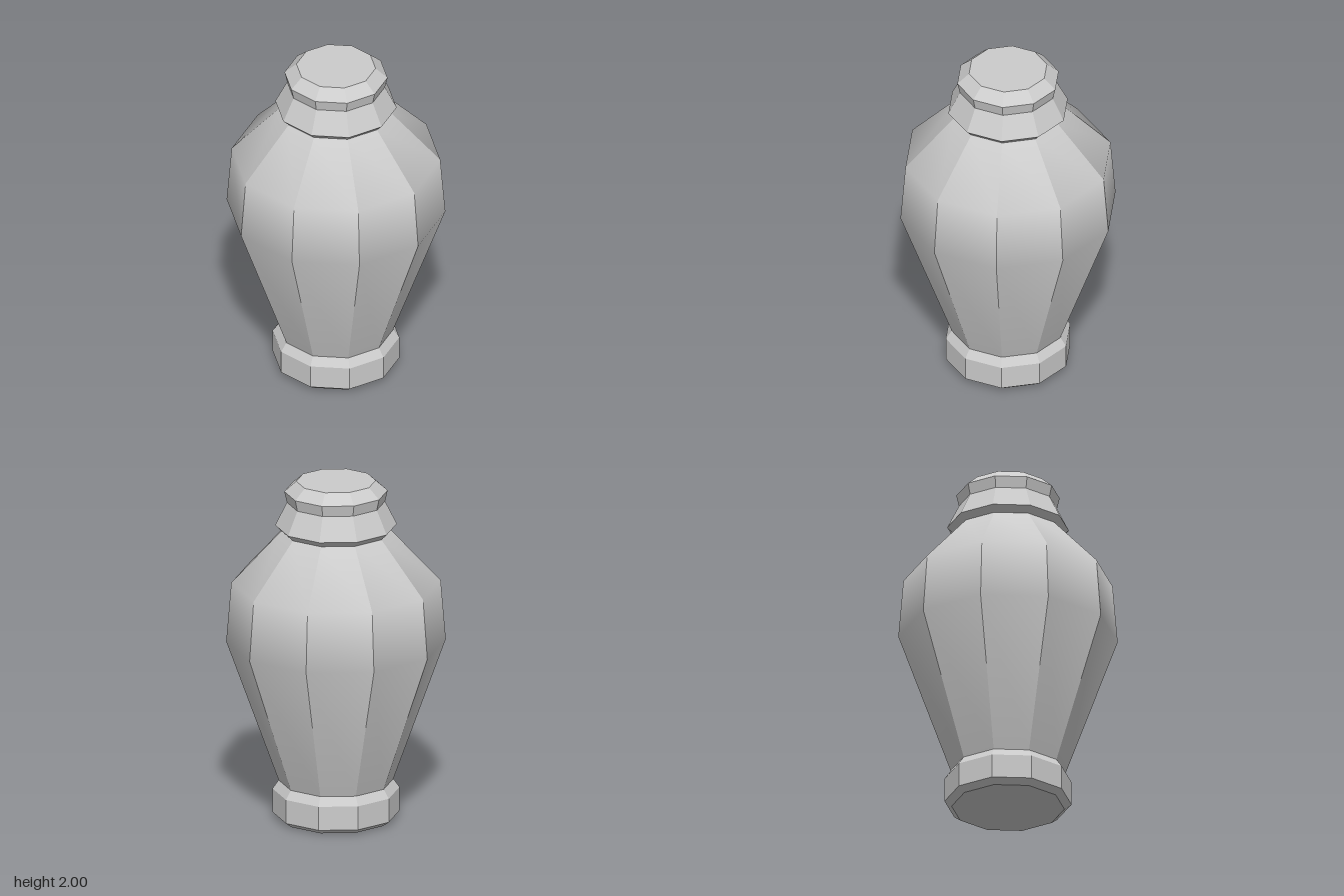
import * as THREE from 'three';
import { mergeGeometries } from 'three/addons/utils/BufferGeometryUtils.js';

const SIDES = 10;
const STEP = (Math.PI * 2) / SIDES;

const toPoints = (profile) => profile.map(([r, y]) => new THREE.Vector2(r, y));

// Ten-sided turned part with hard facets
function facetedPart(name, profile) {
  const geometry = new THREE.LatheGeometry(toPoints(profile), SIDES, Math.PI / 2);
  const material = new THREE.MeshStandardMaterial({ color: 0xcccccc, flatShading: true });
  const mesh = new THREE.Mesh(geometry, material);
  mesh.name = name;
  return mesh;
}

// Ten separate staves: hard edges between them, smooth shading up each one
function stavedPart(name, profile) {
  const staves = [];
  for (let i = 0; i < SIDES; i++) {
    const stave = new THREE.LatheGeometry(toPoints(profile), 1, Math.PI / 2 + i * STEP, STEP);
    stave.computeVertexNormals();
    staves.push(stave);
  }
  const material = new THREE.MeshStandardMaterial({ color: 0xcccccc });
  const mesh = new THREE.Mesh(mergeGeometries(staves), material);
  mesh.name = name;
  return mesh;
}

export function createModel() {
  const group = new THREE.Group();
  group.name = 'urn';

  // Bevelled foot with closed underside
  group.add(facetedPart('foot', [[0, 0], [0.32, 0], [0.36, 0.03], [0.36, 0.17], [0.325, 0.22]]));

  // Swelling body from foot to neck
  group.add(stavedPart('body', [[0.325, 0.22], [0.622, 1.05], [0.593, 1.4], [0.31, 1.705]]));

  // Flared collar below the lid
  group.add(facetedPart('collar', [[0.31, 1.705], [0.345, 1.74], [0.278, 1.875]]));

  // Bevelled lid with flat top
  group.add(facetedPart('lid', [[0.278, 1.875], [0.293, 1.94], [0.225, 2], [0, 2]]));

  return group;
}
